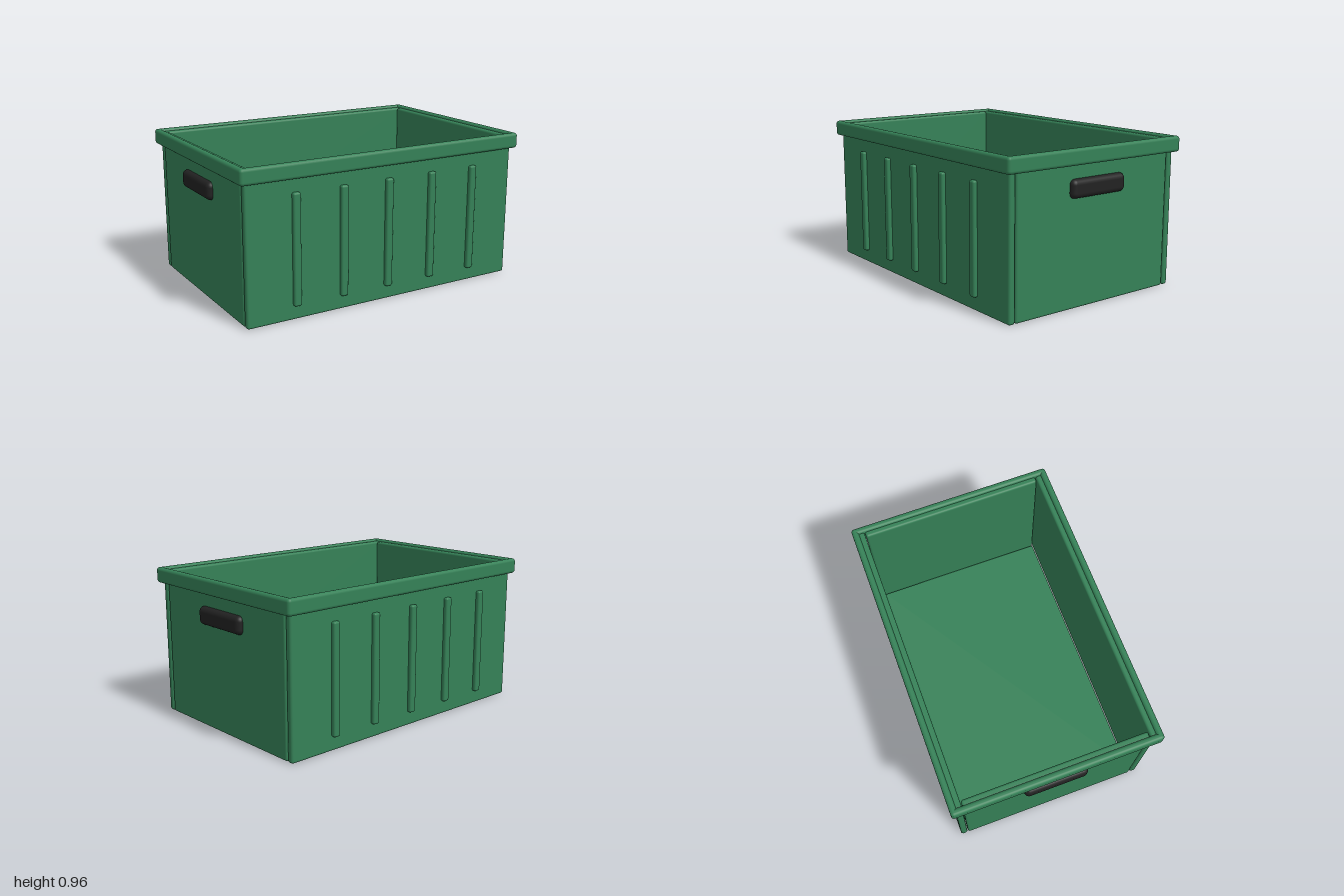
import * as THREE from 'three';
import { RoundedBoxGeometry } from 'three/addons/geometries/RoundedBoxGeometry.js';

const green = new THREE.MeshStandardMaterial({ color: 0x358157 });
green.name = 'crateGreen';
const black = new THREE.MeshStandardMaterial({ color: 0x222222 });
black.name = 'gripBlack';

export function createModel() {
  const crate = new THREE.Group();
  crate.name = 'storageCrate';

  // Rounded block given by its minimum and maximum corners
  function block(name, min, max, radius, material = green) {
    const size = max.map((v, i) => v - min[i]);
    const mesh = new THREE.Mesh(new RoundedBoxGeometry(...size, 3, radius), material);
    mesh.position.set(...max.map((v, i) => (v + min[i]) / 2));
    mesh.name = name;
    crate.add(mesh);
  }

  // Floor panel
  block('floor', [-0.915, 0, -0.593], [0.915, 0.045, 0.593], 0.015);

  // Long walls with raised ribs, and the rim bars above them
  for (const [side, s] of [['front', 1], ['back', -1]]) {
    const along = (name, x0, x1, y0, y1, za, zb, r) =>
      block(side + name, [x0, y0, Math.min(s * za, s * zb)], [x1, y1, Math.max(s * za, s * zb)], r);
    along('Wall', -0.965, 0.965, 0, 0.95, 0.602, 0.647, 0.015);
    along('Rim', -1, 1, 0.865, 0.965, 0.637, 0.68, 0.02);
    for (let i = -2; i <= 2; i++) {
      const x = i * 0.3215;
      along('Rib', x - 0.025, x + 0.025, 0.09, 0.785, 0.64, 0.675, 0.013);
    }
  }

  // End walls with rim bars and hand grips
  for (const [side, s] of [['left', 1], ['right', -1]]) {
    const across = (name, xa, xb, y0, y1, z, r, material) =>
      block(side + name, [Math.min(s * xa, s * xb), y0, -z], [Math.max(s * xa, s * xb), y1, z], r, material);
    across('Wall', 0.92, 0.965, 0, 0.95, 0.598, 0.015);
    across('Rim', 0.955, 1, 0.865, 0.965, 0.68, 0.02);
    across('Grip', 0.93, 1, 0.67, 0.785, 0.21, 0.033, black);
  }

  return crate;
}
